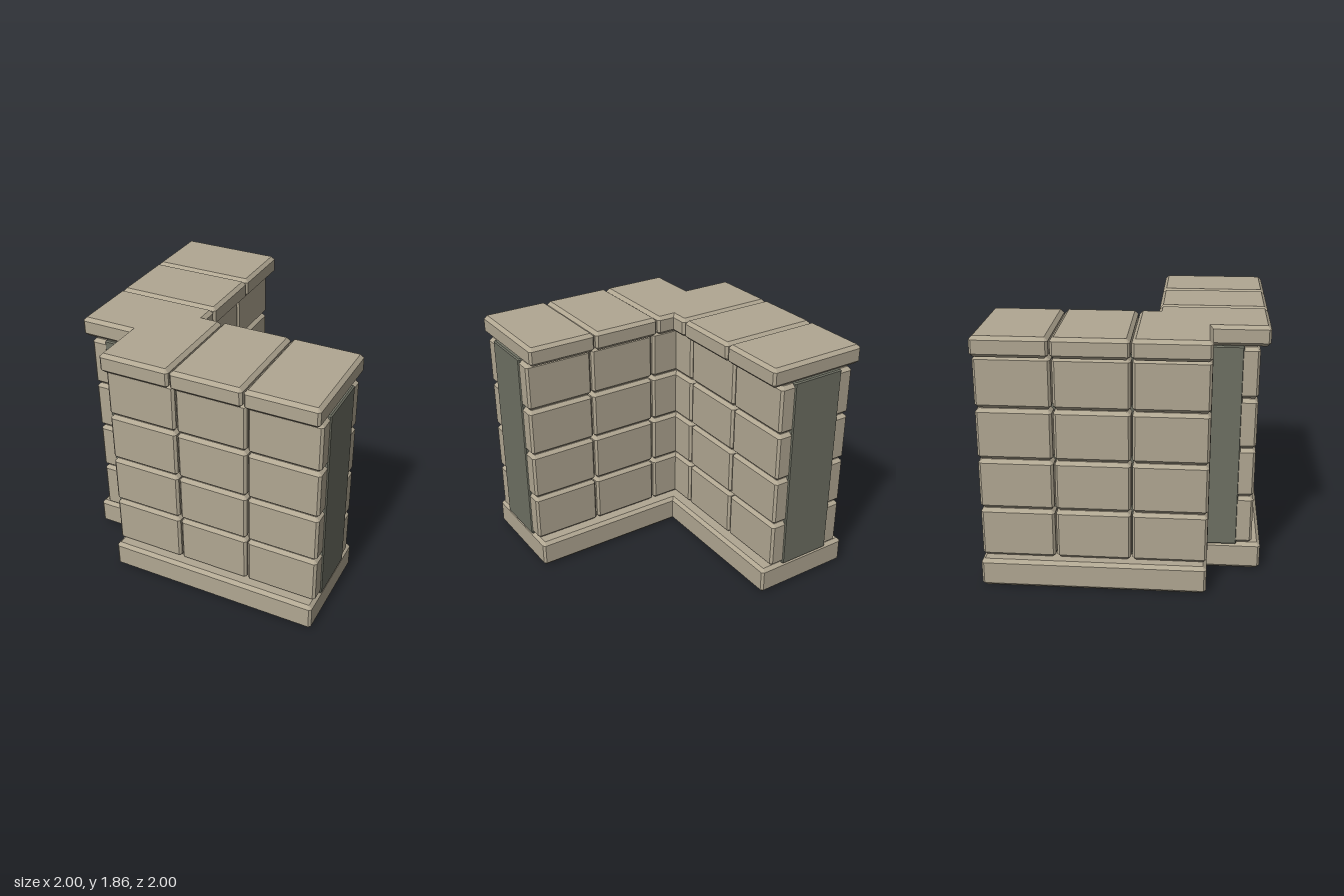
import * as THREE from 'three';

const stone = new THREE.MeshStandardMaterial({ color: 0xb1a792 });
stone.name = 'sandstone';
const slate = new THREE.MeshStandardMaterial({ color: 0x6e7063 });
slate.name = 'dark core';

// Slab over a floor outline of [x, z] points, with chamfered edges and cut convex corners
function slab(name, outline, y0, y1, material, bevel = 0.025, cut = 0.017) {
  const pts = outline.map(([x, z]) => new THREE.Vector2(x, -z));
  if (THREE.ShapeUtils.isClockWise(pts)) pts.reverse();
  const corners = [];
  pts.forEach((p, i) => {
    const toPrev = pts[(i + pts.length - 1) % pts.length].clone().sub(p).normalize();
    const toNext = pts[(i + 1) % pts.length].clone().sub(p).normalize();
    if (toNext.cross(toPrev) > 0) {
      corners.push(p.clone().addScaledVector(toPrev, cut), p.clone().addScaledVector(toNext, cut));
    } else {
      corners.push(p.clone());
    }
  });
  const geometry = new THREE.ExtrudeGeometry(new THREE.Shape(corners), {
    depth: y1 - y0 - 2 * bevel,
    bevelEnabled: true,
    bevelSegments: 1,
    bevelThickness: bevel,
    bevelSize: bevel,
    bevelOffset: -bevel,
  });
  geometry.rotateX(-Math.PI / 2).translate(0, y0 + bevel, 0);
  const mesh = new THREE.Mesh(geometry, material);
  mesh.name = name;
  return mesh;
}

const rect = (x0, x1, z0, z1) => [[x0, z0], [x1, z0], [x1, z1], [x0, z1]];

// The second arm is the first one mirrored across the corner diagonal
const mirror = (outline) => outline.map(([x, z]) => [-z, -x]);

export function createModel() {
  const model = new THREE.Group();
  model.name = 'cornerWall';

  // One-piece footing
  model.add(slab('footing', [
    [-0.995, -0.995], [-0.213, -0.995], [-0.213, 0.213], [0.995, 0.213],
    [0.995, 0.995], [-0.604, 0.995], [-0.604, 0.604], [-0.995, 0.604],
  ], 0, 0.21, stone));

  // Corner capstone
  model.add(slab('cornerCap', [
    [-0.998, 0.078], [-0.213, 0.078], [-0.213, 0.213], [-0.078, 0.213],
    [-0.078, 0.998], [-0.604, 0.998], [-0.604, 0.604], [-0.998, 0.604],
  ], 1.71, 1.855, stone));

  const columns = [[-0.604, -0.078], [-0.068, 0.458], [0.468, 0.992]];
  const arms = [['front', (o) => o], ['side', mirror]];

  for (const [label, place] of arms) {
    const arm = new THREE.Group();
    arm.name = label + 'Arm';

    // Dark core showing at the ends and in the joints
    arm.add(slab('core', place(rect(-0.607, 1, 0.4, 0.82)), 0.2, 1.713, slate, 0.009, 0.008));

    columns.forEach(([x0, x1], c) => {
      // Four courses of blocks
      for (let row = 0; row < 4; row++) {
        const y = 0.211 + row * 0.374;
        arm.add(slab('block', place(rect(x0, x1, 0.29, 0.93)), y, y + 0.37, stone));
      }
      // Capstones past the corner
      if (c > 0) arm.add(slab('cap', place(rect(x0, x1, 0.213, 0.998)), 1.71, 1.855, stone));
    });
    model.add(arm);
  }
  return model;
}
